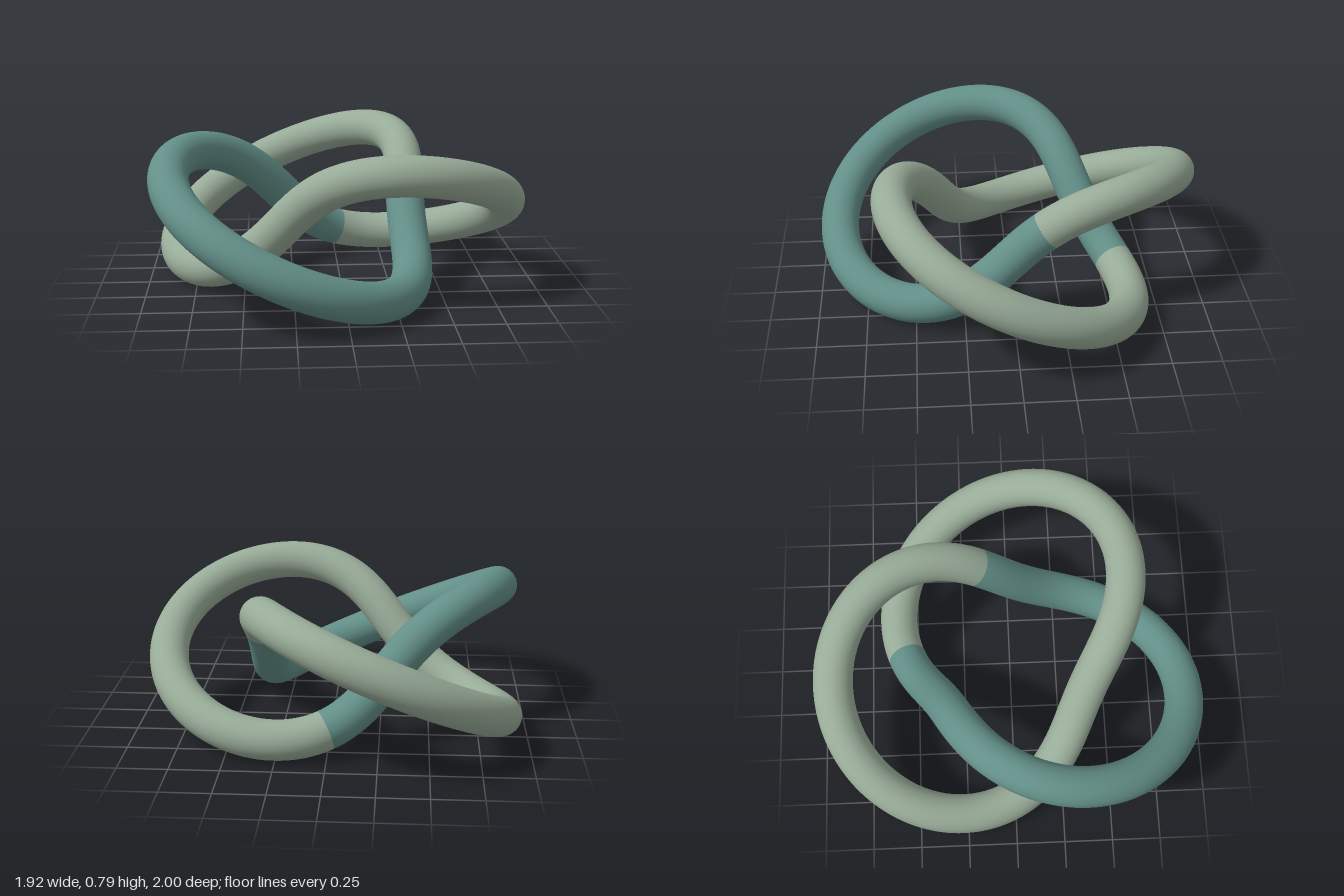
import * as THREE from 'three';

// Knot proportions: ring radius, radial swing, vertical swing, tube radius
const RING = 0.69, SWING = 0.2575, RISE = 0.295, TUBE = 0.1;
const OFFSET_X = -0.09, CENTRE_Y = RISE + TUBE;

// A stretch of a trefoil knot between two angles, in degrees
class KnotArc extends THREE.Curve {
  constructor(from, to) {
    super();
    this.from = from;
    this.to = to;
  }
  getPoint(s, target = new THREE.Vector3()) {
    const t = THREE.MathUtils.degToRad(this.from + (this.to - this.from) * s);
    const r = RING + SWING * Math.cos(3 * t);
    return target.set(
      r * Math.cos(2 * t) + OFFSET_X,
      CENTRE_Y + RISE * Math.sin(3 * t),
      r * Math.sin(2 * t)
    );
  }
}

function strand(name, from, to, material) {
  const curve = new KnotArc(from, to);
  curve.arcLengthDivisions = 800;
  const segments = Math.round(to - from);
  const mesh = new THREE.Mesh(new THREE.TubeGeometry(curve, segments, TUBE, 40), material);
  mesh.name = name;
  return mesh;
}

export function createModel() {
  const sage = new THREE.MeshStandardMaterial({ color: 0x98ab98 });
  sage.name = 'sage green';
  const teal = new THREE.MeshStandardMaterial({ color: 0x638f88 });
  teal.name = 'muted teal';

  const knot = new THREE.Group();
  knot.name = 'trefoilKnot';
  // The two strands meet end to end and close the loop
  knot.add(strand('sageStrand', -40, 170, sage));
  knot.add(strand('tealStrand', 170, 320, teal));
  return knot;
}
